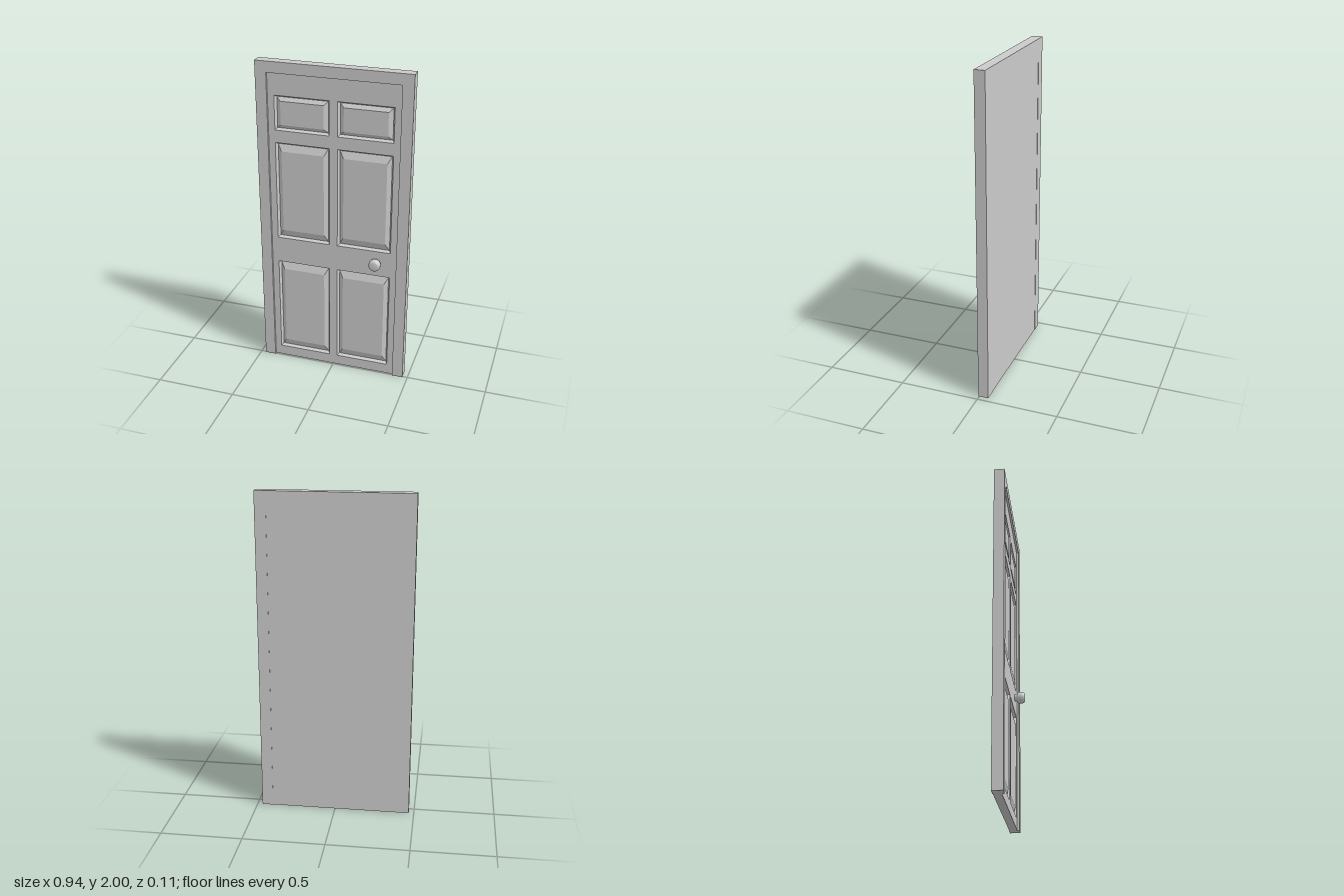
import * as THREE from 'three';

const FRONT = -0.008, BACK = -0.056, CORE = -0.03;

export function createModel() {
  const group = new THREE.Group();
  const material = new THREE.MeshStandardMaterial({ color: 0xcccccc });
  const flat = new THREE.MeshStandardMaterial({ color: 0xcccccc, flatShading: true });
  const add = (name, geometry, mat = flat) => {
    const mesh = new THREE.Mesh(geometry, mat);
    mesh.name = name;
    group.add(mesh);
    return mesh;
  };
  const points = (list) => list.map(([x, y]) => new THREE.Vector2(x, y));
  const rect = (x0, y0, x1, y1) => [[x0, y0], [x1, y0], [x1, y1], [x0, y1]];

  // Frame: two jambs and a header in one upside-down U
  const frame = new THREE.Shape(points([
    [-0.468, 0], [-0.4, 0], [-0.4, 1.933], [0.4, 1.933],
    [0.4, 0], [0.468, 0], [0.468, 2], [-0.468, 2],
  ]));
  add('doorFrame', new THREE.ExtrudeGeometry(frame, { depth: 0.064, bevelEnabled: false }))
    .position.z = -0.058;

  // Panel openings: [bottom, top, vertical bevel width] for each row
  const rows = [[0.067, 0.708, 0.055], [0.876, 1.507, 0.055], [1.585, 1.798, 0.034]];
  const openings = [];
  for (const [y0, y1, bevel] of rows) {
    for (const x0 of [-0.36, 0.025]) openings.push({ x0, x1: x0 + 0.335, y0, y1, bevel });
  }

  // Door leaf: solid core, with the stiles and rails as a pierced front layer
  const core = add('doorCore', new THREE.BoxGeometry(0.8, 1.933, CORE - BACK));
  core.position.set(0, 1.933 / 2, (CORE + BACK) / 2);
  const face = new THREE.Shape(points(rect(-0.4, 0, 0.4, 1.933)));
  for (const o of openings) face.holes.push(new THREE.Path(points(rect(o.x0, o.y0, o.x1, o.y1))));
  add('stilesAndRails', new THREE.ExtrudeGeometry(face, { depth: FRONT - CORE, bevelEnabled: false }))
    .position.z = CORE;

  // Raised panels: sloping moulding, groove, bevel and flat field
  for (const o of openings) {
    const levels = [[0, 0, FRONT], [0.011, 0.011, -0.027], [0.036, o.bevel, -0.011]];
    const positions = [], index = [];
    for (const [dx, dy, z] of levels) {
      for (const [x, y] of rect(o.x0 + dx, o.y0 + dy, o.x1 - dx, o.y1 - dy)) positions.push(x, y, z);
    }
    for (let l = 0; l < 2; l++) {
      for (let i = 0; i < 4; i++) {
        const a = l * 4 + i, b = l * 4 + (i + 1) % 4;
        index.push(a, b, b + 4, a, b + 4, a + 4);
      }
    }
    index.push(8, 9, 10, 8, 10, 11);
    const geometry = new THREE.BufferGeometry();
    geometry.setAttribute('position', new THREE.Float32BufferAttribute(positions, 3));
    geometry.setIndex(index);
    const panel = geometry.toNonIndexed();
    panel.computeVertexNormals();
    add('raisedPanel', panel);
  }

  // Knob: rounded profile turned about the z axis
  const profile = points([
    [0.022, FRONT], [0.022, 0.005], [0.029, 0.008], [0.034, 0.013], [0.036, 0.019],
    [0.036, 0.039], [0.034, 0.047], [0.029, 0.053], [0.02, 0.055], [0, 0.056],
  ]);
  const knob = new THREE.LatheGeometry(profile, 24);
  knob.rotateX(Math.PI / 2);
  add('doorKnob', knob, material).position.set(0.273, 0.803, 0);

  return group;
}
